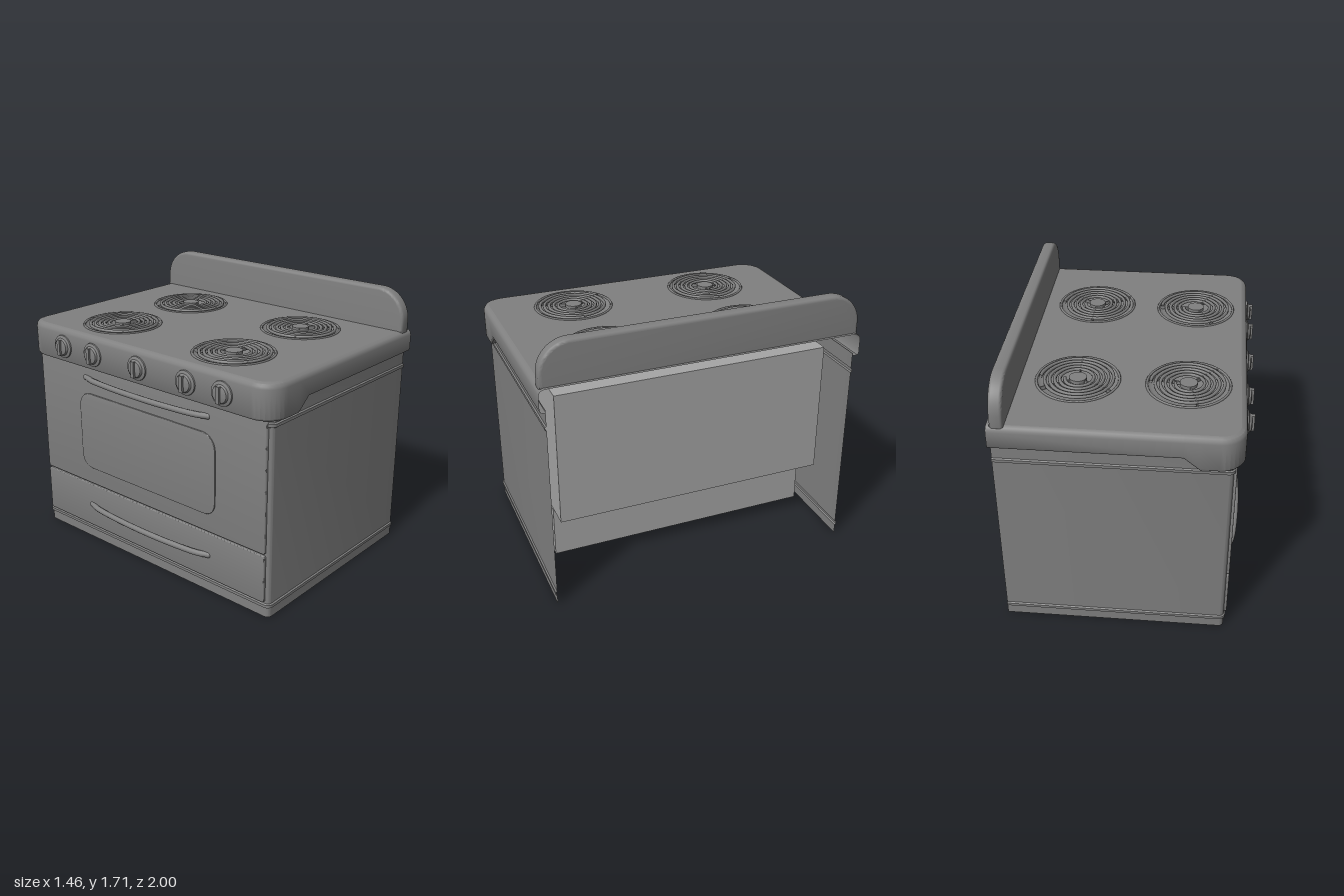
import * as THREE from 'three';
import { toCreasedNormals } from 'three/addons/utils/BufferGeometryUtils.js';

const enamel = new THREE.MeshStandardMaterial({ color: 0x808080, side: THREE.DoubleSide });
enamel.name = 'grey enamel';
const steel = new THREE.MeshStandardMaterial({ color: 0xa6a6a6 });
steel.name = 'light oven steel';

function add(parent, name, geometry, material = enamel, x = 0, y = 0, z = 0) {
  const mesh = new THREE.Mesh(geometry, material);
  mesh.name = name;
  mesh.position.set(x, y, z);
  parent.add(mesh);
  return mesh;
}

// U-shaped shell, open at the back: a profile of [inset, height] swept round the plan
function sweepShell(front, back, half, r, xs, profileAt) {
  const path = xs.map(x => [x, -half, 0, -1]);
  path.unshift([back, -half, 0, -1]);
  for (const side of [-1, 1]) {
    for (let i = 0; i <= 8; i++) {
      const a = -Math.PI / 2 * (side < 0 ? 1 + i / 8 : 2 + i / 8);
      const c = Math.cos(a), s = Math.sin(a);
      path.push([front + r + r * c, side * (half - r) + r * s, c, s]);
    }
  }
  [...xs].reverse().forEach(x => path.push([x, half, 0, 1]));
  path.push([back, half, 0, 1]);
  const pos = [], idx = [], n = profileAt(0).length;
  path.forEach(([x, z, nx, nz], i) => {
    profileAt(x).forEach(([inset, y], j) => {
      pos.push(x - nx * inset, y, z - nz * inset);
      if (i < path.length - 1 && j < n - 1) {
        const a = i * n + j, b = a + n;
        idx.push(a, b, a + 1, b, b + 1, a + 1);
      }
    });
  });
  const g = new THREE.BufferGeometry();
  g.setAttribute('position', new THREE.Float32BufferAttribute(pos, 3));
  g.setIndex(idx);
  return toCreasedNormals(g, 0.6);
}

// Upright plate with rounded corners, its thickness running toward the oven front (-x)
function plate(half, y0, y1, rTop, rBottom, depth, bevel) {
  const s = new THREE.Shape();
  s.moveTo(-half + rBottom, y0);
  s.lineTo(half - rBottom, y0);
  s.quadraticCurveTo(half, y0, half, y0 + rBottom);
  s.lineTo(half, y1 - rTop);
  s.absarc(half - rTop, y1 - rTop, rTop, 0, Math.PI / 2);
  s.lineTo(-half + rTop, y1);
  s.absarc(-half + rTop, y1 - rTop, rTop, Math.PI / 2, Math.PI);
  s.lineTo(-half, y0 + rBottom);
  s.quadraticCurveTo(-half, y0, -half + rBottom, y0);
  const g = new THREE.ExtrudeGeometry(s, {
    depth: depth - 2 * bevel, bevelEnabled: true, bevelThickness: bevel, bevelSize: bevel,
    bevelOffset: -bevel, bevelSegments: 3, curveSegments: 12,
  });
  g.translate(0, 0, bevel).rotateY(-Math.PI / 2);
  return toCreasedNormals(g, 0.6);
}

const burners = [
  { x: -0.35, z: -0.465, turn: 14 }, { x: 0.295, z: -0.465, turn: -30 },
  { x: -0.355, z: 0.46, turn: 0 }, { x: 0.295, z: 0.46, turn: 32 },
];

function makeBurner({ x, z, turn }) {
  const burner = new THREE.Group();
  burner.name = 'burner';
  burner.position.set(x, 1.45, z);
  const bowl = [[0, -0.028], [0.12, -0.028], [0.21, -0.022], [0.24, 0]].map(p => new THREE.Vector2(...p));
  add(burner, 'dripBowl', new THREE.LatheGeometry(bowl, 48));
  add(burner, 'trimRing', new THREE.TorusGeometry(0.243, 0.008, 6, 48).rotateX(Math.PI / 2));
  // Spiral heating element
  const pts = [];
  for (let i = 0; i <= 120; i++) {
    const t = i / 120, a = t * 5 * Math.PI * 2, r = 0.222 - 0.145 * t;
    pts.push(new THREE.Vector3(Math.cos(a) * r, 0.004, Math.sin(a) * r));
  }
  add(burner, 'heatingCoil', new THREE.TubeGeometry(new THREE.CatmullRomCurve3(pts), 260, 0.0105, 6));
  add(burner, 'coilHub', new THREE.CylinderGeometry(0.052, 0.052, 0.02, 32), enamel, 0, 0.004, 0);
  for (let k = 0; k < 3; k++) {
    const spoke = new THREE.BoxGeometry(0.19, 0.022, 0.008).translate(0.14, -0.003, 0);
    add(burner, 'coilSupport', spoke).rotation.y = -THREE.MathUtils.degToRad(turn + 120 * k);
  }
  return burner;
}

function makeKnob(z) {
  const knob = new THREE.Group();
  knob.name = 'controlKnob';
  knob.position.set(-0.688, 1.335, z);
  knob.rotation.z = Math.PI / 2;
  const profile = [[0.075, 0], [0.073, 0.01], [0.056, 0.016], [0.05, 0.028], [0.035, 0.033], [0, 0.034]];
  const dome = new THREE.LatheGeometry(profile.map(p => new THREE.Vector2(...p)), 32);
  add(knob, 'knobDial', toCreasedNormals(dome, 0.6));
  add(knob, 'knobGrip', new THREE.BoxGeometry(0.1, 0.03, 0.024), enamel, 0, 0.031, 0);
  return knob;
}

function makeHandle(y) {
  const handle = new THREE.Group();
  handle.name = 'handle';
  const curve = new THREE.CatmullRomCurve3([
    [-0.64, -0.51], [-0.665, -0.44], [-0.685, -0.25], [-0.693, 0], [-0.685, 0.25], [-0.665, 0.44], [-0.64, 0.51],
  ].map(([x, z]) => new THREE.Vector3(x, y, z)));
  add(handle, 'handleBar', new THREE.TubeGeometry(curve, 48, 0.018, 10));
  for (const z of [-0.51, 0.51]) add(handle, 'handleEnd', new THREE.SphereGeometry(0.02, 12, 8), enamel, -0.64, y, z);
  return handle;
}

export function createModel() {
  const stove = new THREE.Group();
  stove.name = 'stove';

  // Sheet-metal cabinet with two raised beads, open at the back
  const bead = y => [[0, y], [-0.009, y + 0.006], [-0.009, y + 0.024], [0, y + 0.03]];
  const cabinet = [[0, 0], ...bead(0.06), ...bead(1.19), [0, 1.32]];
  add(stove, 'cabinet', sweepShell(-0.63, 0.72, 0.962, 0.03, [], () => cabinet));

  // Oven and drawer boxes seen from behind
  add(stove, 'ovenBox', new THREE.BoxGeometry(1.1, 0.86, 1.755), steel, -0.05, 0.85, -0.0225);
  add(stove, 'drawerBox', new THREE.BoxGeometry(0.96, 0.335, 1.72), steel, -0.13, 0.2525, 0);

  // Door, window and drawer on the front
  add(stove, 'ovenDoor', plate(0.935, 0.415, 1.235, 0.015, 0.015, 0.025, 0.006), enamel, -0.622);
  add(stove, 'ovenWindow', plate(0.57, 0.53, 1.05, 0.1, 0.1, 0.009, 0.003), enamel, -0.645);
  add(stove, 'drawerFront', plate(0.935, 0.1, 0.405, 0.015, 0.015, 0.025, 0.006), enamel, -0.622);
  stove.add(makeHandle(1.15), makeHandle(0.255));

  // Cooktop skirt, deeper at the front
  const skirtBottom = x => THREE.MathUtils.mapLinear(THREE.MathUtils.clamp(x, -0.44, -0.35), -0.44, -0.35, 1.235, 1.31);
  const skirt = x => {
    const y = skirtBottom(x);
    return [[0.035, y], [0.008, y], [0, y + 0.012], [0, 1.415], [0.004, 1.43], [0.014, 1.443], [0.035, 1.45]];
  };
  add(stove, 'cooktopSkirt', sweepShell(-0.69, 0.73, 0.998, 0.14, [-0.35, -0.44], skirt));

  // Cooktop surface with burner openings
  const f = -0.655, h = 0.963, r = 0.105;
  const top = new THREE.Shape();
  top.moveTo(0.73, -h);
  top.lineTo(0.73, h);
  top.lineTo(f + r, h);
  top.absarc(f + r, h - r, r, Math.PI / 2, Math.PI);
  top.lineTo(f, -h + r);
  top.absarc(f + r, -h + r, r, Math.PI, Math.PI * 1.5);
  for (const b of burners) {
    const hole = new THREE.Path();
    hole.absarc(b.x, -b.z, 0.238, 0, Math.PI * 2, true);
    top.holes.push(hole);
  }
  add(stove, 'cooktop', new THREE.ShapeGeometry(top, 24).rotateX(-Math.PI / 2), enamel, 0, 1.45, 0);

  for (const b of burners) stove.add(makeBurner(b));
  for (const z of [-0.655, -0.385, 0, 0.385, 0.655]) stove.add(makeKnob(z));

  // Rear splash panel
  add(stove, 'backsplash', plate(0.988, 1.437, 1.705, 0.19, 0.005, 0.08, 0.018), enamel, 0.71);
  return stove;
}
